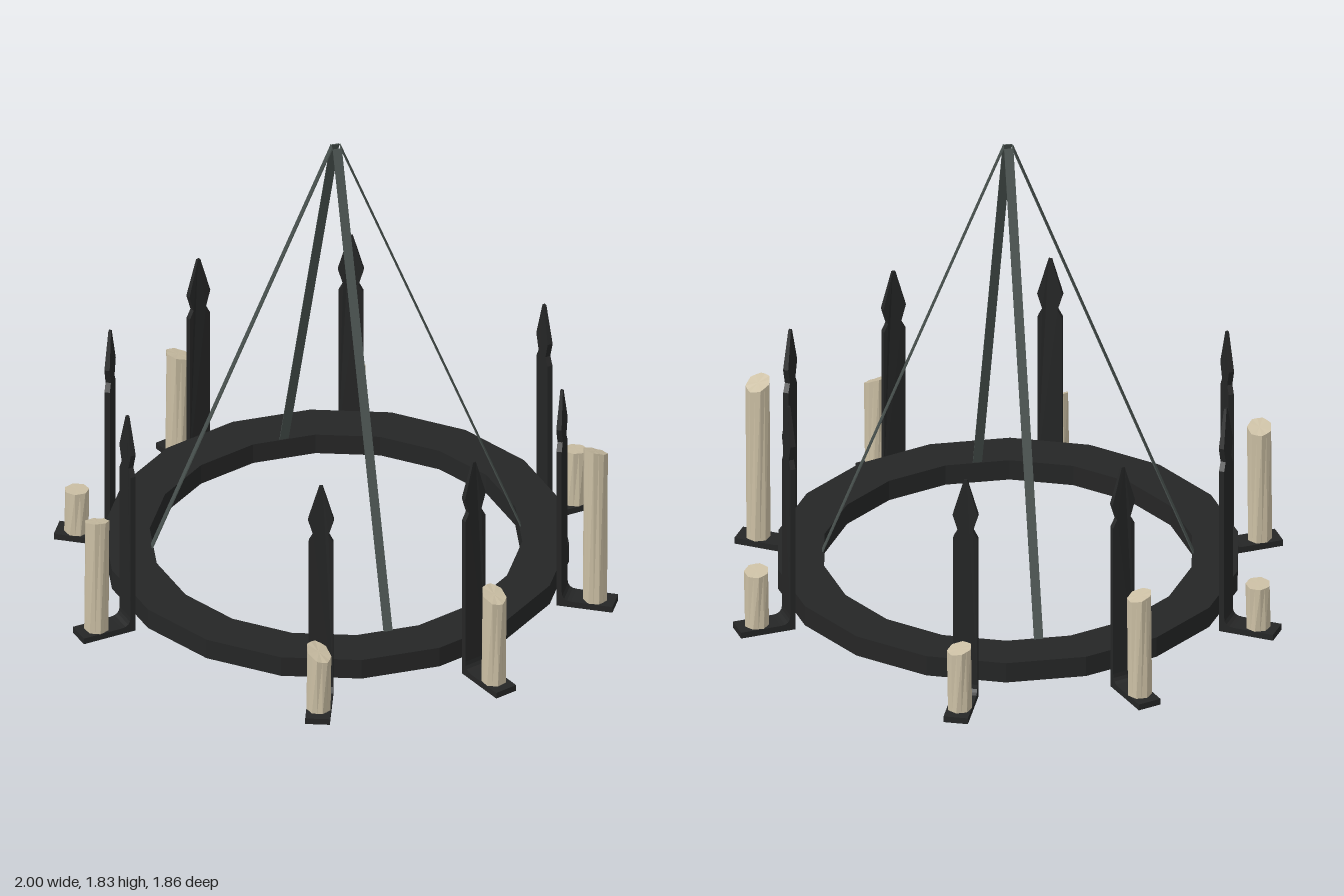
import * as THREE from 'three';

const iron = new THREE.MeshStandardMaterial({ color: 0x252626 });
iron.name = 'darkIron';
const steel = new THREE.MeshStandardMaterial({ color: 0x49524f });
steel.name = 'greySteel';
const wax = new THREE.MeshStandardMaterial({ color: 0xcbbfa4 });
wax.name = 'wax';

// Faceted mesh: every face gets its own normal
function facetedMesh(name, geometry, material) {
  const flat = geometry.index ? geometry.toNonIndexed() : geometry;
  flat.computeVertexNormals();
  const mesh = new THREE.Mesh(flat, material);
  mesh.name = name;
  return mesh;
}

const WIDTH = 0.09, THICK = 0.02, INNER = 0.837;

// 18-sided square-section hoop
function makeRing() {
  const profile = [[0.85, 0.07], [0.85, 0.15], [0.68, 0.15], [0.68, 0.07], [0.85, 0.07]]
    .map(([r, y]) => new THREE.Vector2(r, y));
  return facetedMesh('ring', new THREE.LatheGeometry(profile, 18), iron);
}

// Spear-topped upright, thinned towards its point
function makeUpright() {
  const half = [[0.045, 0.06], [0.045, 0.665], [0.028, 0.697], [0.047, 0.76], [0.006, 0.905]];
  const outline = [...half, ...half.map(([x, y]) => [-x, y]).reverse()];
  const shape = new THREE.Shape(outline.map(([x, y]) => new THREE.Vector2(x, y)));
  const g = new THREE.ExtrudeGeometry(shape, { depth: THICK, bevelEnabled: false });
  g.translate(0, 0, -THICK / 2);
  const p = g.attributes.position;
  for (let i = 0; i < p.count; i++) {
    if (p.getY(i) > 0.8) p.setZ(i, p.getZ(i) * 0.5);
  }
  g.translate(0, 0, INNER + THICK / 2);
  return facetedMesh('upright', g, iron);
}

// Foot plate with a curved fillet where it meets the upright
function makeFoot() {
  const s = new THREE.Shape();
  s.moveTo(INNER, 0);
  s.lineTo(1.047, 0);
  s.lineTo(1.047, 0.024);
  s.lineTo(INNER + THICK + 0.036, 0.024);
  s.quadraticCurveTo(INNER + THICK, 0.024, INNER + THICK, 0.06);
  s.lineTo(INNER, 0.06);
  const g = new THREE.ExtrudeGeometry(s, { depth: WIDTH, bevelEnabled: false, curveSegments: 4 });
  g.translate(0, 0, -WIDTH / 2);
  g.rotateY(-Math.PI / 2);
  return facetedMesh('foot', g, iron);
}

// Fluted candle with a slanted cut at the top
function makeCandle(height, slopeX, slopeZ) {
  const sides = 14, base = 0.024;
  const g = new THREE.CylinderGeometry(0.045, 0.045, height - base, sides, 1);
  g.translate(0, (height + base) / 2, 0);
  const p = g.attributes.position;
  for (let i = 0; i < p.count; i++) {
    const x = p.getX(i), z = p.getZ(i), top = p.getY(i) > height - 0.001;
    const step = Math.round(Math.atan2(x, z) / (2 * Math.PI) * sides) + sides;
    const k = (step + (top ? 1 : 0)) % 2 ? 0.93 : 1.02;
    p.setX(i, x * k);
    p.setZ(i, z * k);
    if (top) p.setY(i, height + slopeX * x + slopeZ * z);
  }
  return facetedMesh('candle', g, wax);
}

// Flat strip from the ring up to the apex
function makeStay(angle) {
  const low = new THREE.Vector2(0.70, 0.085), high = new THREE.Vector2(0.016, 1.83);
  const g = new THREE.BoxGeometry(0.034, low.distanceTo(high), 0.004);
  g.rotateX(-Math.atan2(low.x - high.x, high.y - low.y));
  g.translate(0, (low.y + high.y) / 2, (low.x + high.x) / 2);
  const stay = facetedMesh('stay', g, steel);
  stay.rotation.y = angle;
  return stay;
}

// Azimuth from +z towards +x (degrees), candle height, slope of the cut in x and z
const HOLDERS = [
  [30, 0.265, -0.6, -0.05],
  [70, 0.395, -0.5, -0.1],
  [110, 0.66, 0, 0.45],
  [150, 0.245, 0.05, 0.15],
  [210, 0.27, -0.1, 0.2],
  [250, 0.43, -0.15, 0.25],
  [290, 0.2, 0.05, 0.05],
  [330, 0.485, 0.2, 0.25],
];

export function createModel() {
  const model = new THREE.Group();
  model.name = 'candleChandelier';
  model.add(makeRing());

  for (const [deg, height, slopeX, slopeZ] of HOLDERS) {
    const a = THREE.MathUtils.degToRad(deg);
    const bracket = new THREE.Group();
    bracket.name = 'bracket';
    bracket.add(makeUpright(), makeFoot());
    bracket.rotation.y = a;
    const candle = makeCandle(height, slopeX, slopeZ);
    candle.position.set(0.972 * Math.sin(a), 0, 0.972 * Math.cos(a));
    model.add(bracket, candle);
  }

  for (const deg of [50, 130, 230, 310]) {
    model.add(makeStay(THREE.MathUtils.degToRad(deg)));
  }
  return model;
}
